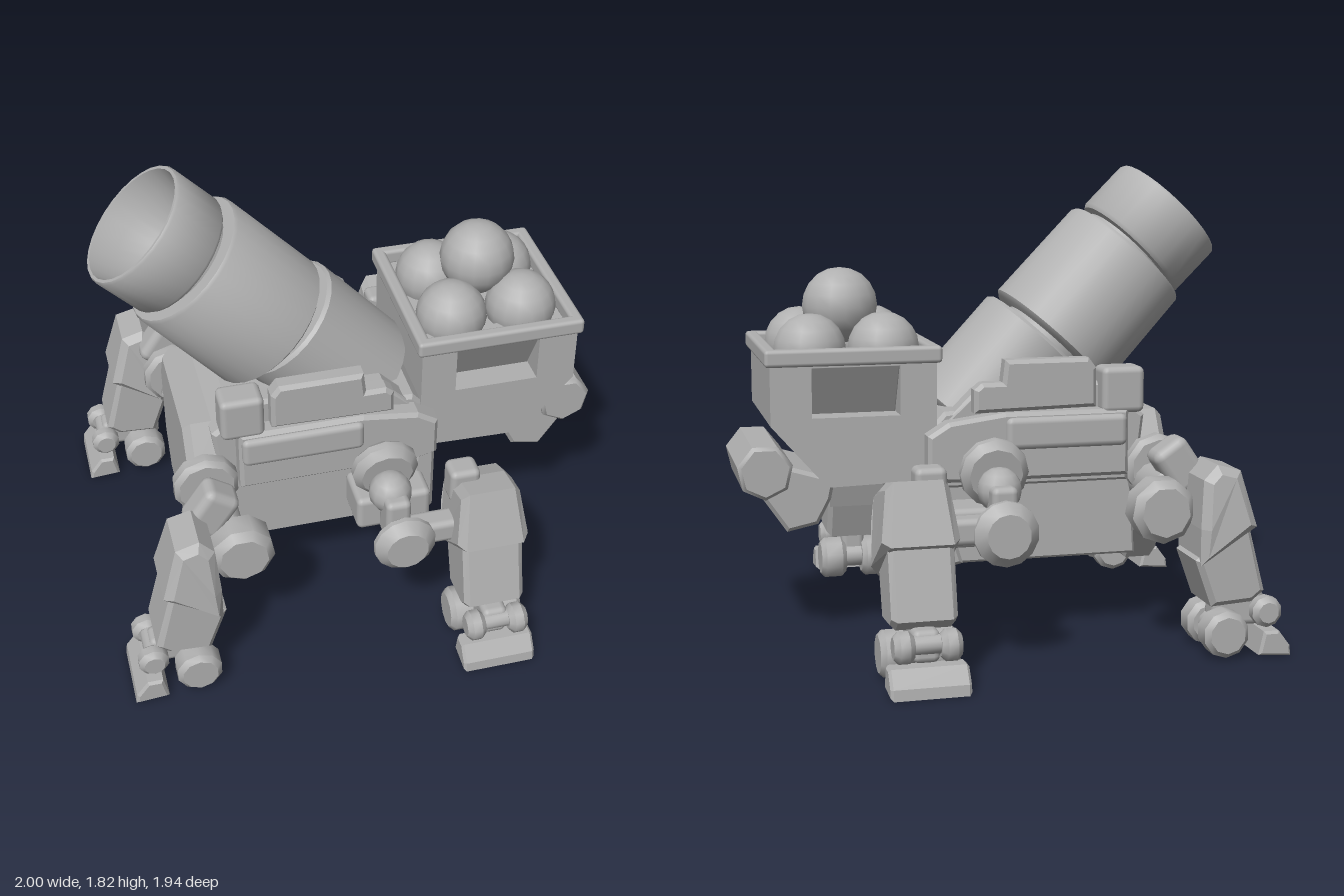
import * as THREE from 'three';
import { toCreasedNormals } from 'three/addons/utils/BufferGeometryUtils.js';
import { RoundedBoxGeometry } from 'three/addons/geometries/RoundedBoxGeometry.js';

const grey = new THREE.MeshStandardMaterial({ color: 0xb0b0b0 });
grey.name = 'plain grey';

function add(parent, name, geometry, x = 0, y = 0, z = 0) {
  const mesh = new THREE.Mesh(geometry, grey);
  mesh.name = name;
  mesh.position.set(x, y, z);
  parent.add(mesh);
  return mesh;
}

const box = (w, h, d, r = 0.025) => new RoundedBoxGeometry(w, h, d, 2, r);

// Profile in x and y, extruded to a bevelled slab centred on z
function slab(points, width, bevel = 0.015, hole) {
  const shape = new THREE.Shape(points.map(p => new THREE.Vector2(...p)));
  if (hole) shape.holes.push(new THREE.Path(hole.map(p => new THREE.Vector2(...p))));
  const geo = new THREE.ExtrudeGeometry(shape, {
    depth: width - 2 * bevel, bevelEnabled: bevel > 0, bevelSize: bevel,
    bevelThickness: bevel, bevelOffset: -bevel, bevelSegments: 1,
  });
  return geo.translate(0, 0, bevel - width / 2);
}

// Same slab turned so the profile lies in z and y, its width along x
const across = (points, width, bevel) => slab(points, width, bevel).rotateY(-Math.PI / 2);

// Soft-edged disc or pin, axis along z
function disc(r, width, sides = 12, edge = 0.02) {
  const h = width / 2;
  const pts = [[0, -h], [r - edge, -h], [r, edge - h], [r, h - edge], [r - edge, h], [0, h]];
  const geo = new THREE.LatheGeometry(pts.map(p => new THREE.Vector2(...p)), sides);
  return toCreasedNormals(geo, 0.7).rotateX(Math.PI / 2);
}

function lathe(pts) {
  return toCreasedNormals(new THREE.LatheGeometry(pts.map(p => new THREE.Vector2(...p)), 28), 0.7);
}

// Narrows a part in x towards its top
function taper(geo, yLow, yHigh, topScale) {
  const p = geo.attributes.position;
  for (let i = 0; i < p.count; i++) {
    const t = THREE.MathUtils.clamp((p.getY(i) - yLow) / (yHigh - yLow), 0, 1);
    p.setX(i, p.getX(i) * (1 + t * (topScale - 1)));
  }
  geo.computeVertexNormals();
  return geo;
}

// Leg reaching out along +z, its width along x
function makeLeg(name, thighProfile) {
  const leg = new THREE.Group();
  leg.name = name;
  add(leg, 'upperLeg', taper(across(thighProfile, 0.295, 0.03), 0.48, 0.73, 0.76));
  add(leg, 'lowerLeg', across([[0.80, 0.52], [0.87, 0.25], [0.82, 0.21], [0.66, 0.20], [0.595, 0.38]], 0.24, 0.02));
  add(leg, 'anklePin', disc(0.035, 0.2).rotateY(Math.PI / 2), 0, 0.17, 0.88);
  add(leg, 'ankleStrut', box(0.1, 0.12, 0.2), 0, 0.16, 0.79);
  add(leg, 'heelAxle', disc(0.05, 0.24).rotateY(Math.PI / 2), 0, 0.1, 0.715);
  for (const s of [-1, 1]) {
    add(leg, 'ankleKnob', disc(0.06, 0.075, 10).rotateY(Math.PI / 2), s * 0.085, 0.165, 0.885);
    add(leg, 'heelWheel', disc(0.09, 0.11, 10).rotateY(Math.PI / 2), s * 0.09, 0.095, 0.715);
  }
  add(leg, 'toe', across([[0.84, 0.01], [0.97, 0], [0.965, 0.04], [0.92, 0.1], [0.86, 0.1]], 0.29, 0.01));
  return leg;
}

function addBody(model) {
  // Hull, deck and the nose that narrows downwards
  add(model, 'hull', slab([[-0.55, 0.305], [0.25, 0.305], [0.29, 0.34], [0.29, 0.66], [-0.53, 0.66]], 0.64, 0.01));
  add(model, 'deck', slab([[-0.55, 0.6], [0.3, 0.6], [0.3, 0.81], [0.22, 0.9], [-0.5, 0.92], [-0.58, 0.86]], 0.66));
  add(model, 'nose', across([[-0.21, 0.26], [0.21, 0.26], [0.32, 0.42], [0.34, 0.72], [0.25, 0.87],
    [-0.25, 0.87], [-0.34, 0.72], [-0.32, 0.42]], 0.16, 0.03), -0.6, 0, 0);
  for (const s of [-1, 1]) {
    add(model, 'sidePanel', slab([[-0.49, 0.64], [0.22, 0.64], [0.3, 0.66], [0.3, 0.82], [0.22, 0.87], [0, 0.9], [-0.49, 0.9]], 0.11), 0, 0, s * 0.355);
    add(model, 'sideBar', box(0.48, 0.125, 0.07), -0.24, 0.82, s * 0.395);
    add(model, 'steppedPad', slab([[-0.36, 0.91], [0.12, 0.9], [0.12, 0.99], [0.09, 1.015], [0.01, 1.015], [0, 1.1], [-0.33, 1.1], [-0.36, 1.06]], 0.08), 0, 0, s * 0.365);
    add(model, 'endBlock', box(0.17, 0.18, 0.13), -0.47, 0.97, s * 0.34);
    add(model, 'barrelCradle', slab([[-0.45, 0.86], [0.22, 0.86], [0.1, 0.98], [-0.4, 1.0]], 0.1), 0, 0, s * 0.29);
    add(model, 'cornerBracket', slab([[0.16, 0.32], [0.25, 0.3], [0.3, 0.36], [0.3, 0.66], [0.22, 0.66], [0.2, 0.45]], 0.1), 0, 0, s * 0.335);
  }
}

function addBarrel(model) {
  // Each section has its own slight tilt
  const section = (name, pts, x, y, angle) => { add(model, name, lathe(pts), x, y).rotation.z = angle; };
  section('muzzle', [[0.2, -0.12], [0.243, -0.115], [0.253, -0.1], [0.253, 0.105], [0.247, 0.115], [0.235, 0.115],
    [0.21, 0.02], [0.15, -0.12], [0.08, -0.21], [0, -0.24]], -0.698, 1.564, 0.785);
  section('middleBarrel', [[0, -0.255], [0.27, -0.255], [0.288, -0.24], [0.28, 0.2], [0.272, 0.213], [0.215, 0.213]], -0.458, 1.31, 0.745);
  section('barrelCore', [[0.2, -0.3], [0.215, 0.32]], -0.47, 1.325, 0.76);
  section('breechBarrel', [[0, -0.25], [0.23, -0.25], [0.258, -0.23], [0.258, 0.215], [0.245, 0.228], [0, 0.228]], -0.08, 0.97, 0.744);
}

function addBasket(model) {
  const profile = [[0.25, 1.1], [0.25, 0.82], [0.30, 0.64], [0.67, 0.63], [0.88, 0.87], [0.88, 1.1]];
  const window = [[0.39, 0.895], [0.39, 1.085], [0.725, 1.085], [0.725, 0.895]];
  add(model, 'basketCore', slab([[0.25, 1.08], [0.25, 0.82], [0.30, 0.64], [0.67, 0.63], [0.88, 0.87], [0.88, 1.08]], 0.44, 0));
  for (const s of [-1, 1]) {
    add(model, 'basketSide', slab(profile, 0.12, 0, window), 0, 0, s * 0.27);
    add(model, 'windowPane', box(0.335, 0.22, 0.012, 0.004), 0.5575, 0.99, s * 0.265).rotation.x = s * 0.48;
    add(model, 'sideRim', box(0.67, 0.065, 0.05, 0.015), 0.565, 1.123, s * 0.325);
  }
  for (const x of [0.255, 0.875]) add(model, 'endRim', box(0.05, 0.065, 0.7, 0.015), x, 1.123, 0);
  // Heap of round shot
  const ball = r => new THREE.SphereGeometry(r, 16, 10);
  for (const x of [0.42, 0.705]) for (const z of [-0.145, 0.145]) add(model, 'shotBall', ball(0.14), x, 1.13, z);
  add(model, 'topShotBall', ball(0.148), 0.565, 1.285, 0);
  // Tail behind the basket
  add(model, 'tailArm', slab([[0.62, 0.66], [0.64, 0.56], [0.69, 0.465], [0.81, 0.44], [0.92, 0.6], [0.84, 0.71], [0.79, 0.69], [0.69, 0.66]], 0.44));
  add(model, 'tailBar', disc(0.108, 0.5, 7, 0.015), 0.893, 0.68, 0);
}

function addLegs(model) {
  for (const s of [-1, 1]) {
    // Leg beside the basket, with its swivel joint
    const sideLeg = makeLeg('sideLeg', [[0.755, 0.73], [0.62, 0.7], [0.515, 0.65], [0.535, 0.54], [0.59, 0.35], [0.83, 0.51]]);
    sideLeg.position.set(0.41, 0, 0);
    sideLeg.rotation.y = s > 0 ? 0 : Math.PI;
    model.add(sideLeg);
    add(model, 'hipKnob', box(0.12, 0.15, 0.11), 0.34, 0.675, s * 0.6);
    add(model, 'hipBase', box(0.3, 0.15, 0.2), 0.1, 0.485, s * 0.41);
    add(model, 'hipDisc', disc(0.132, 0.09, 12, 0.03), 0.065, 0.69, s * 0.475).rotation.x = s * 0.15;
    add(model, 'hipBall', new THREE.SphereGeometry(0.085, 12, 8), 0.065, 0.64, s * 0.56);
    add(model, 'hipStrut', box(0.1, 0.2, 0.12), 0.07, 0.57, s * 0.62);
    add(model, 'kneeDisc', disc(0.122, 0.1, 14, 0.04), 0.08, 0.51, s * 0.72);
    add(model, 'hipArm', box(0.28, 0.1, 0.1), 0.22, 0.52, s * 0.67);
    // Leg under the muzzle, with a slimmer thigh
    const muzzleLeg = makeLeg('muzzleLeg', [[0.77, 0.71], [0.68, 0.735], [0.625, 0.68], [0.61, 0.5], [0.61, 0.36], [0.83, 0.5]]);
    muzzleLeg.position.set(-0.035, 0, s * 0.67);
    muzzleLeg.rotation.y = -Math.PI / 2;
    model.add(muzzleLeg);
    add(model, 'hipShaft', disc(0.085, 0.32), -0.6, 0.6, s * 0.44);
    add(model, 'shaftCollar', disc(0.13, 0.08, 10), -0.62, 0.66, s * 0.36);
    add(model, 'shoulderBlock', box(0.15, 0.2, 0.13, 0.035), -0.635, 0.7, s * 0.545).rotation.z = -0.6;
    add(model, 'shoulderDisc', disc(0.125, 0.15, 9, 0.03), -0.54, 0.55, s * 0.63);
  }
}

export function createModel() {
  const model = new THREE.Group();
  model.name = 'walkingCannon';
  addBody(model);
  addBarrel(model);
  addBasket(model);
  addLegs(model);
  return model;
}
